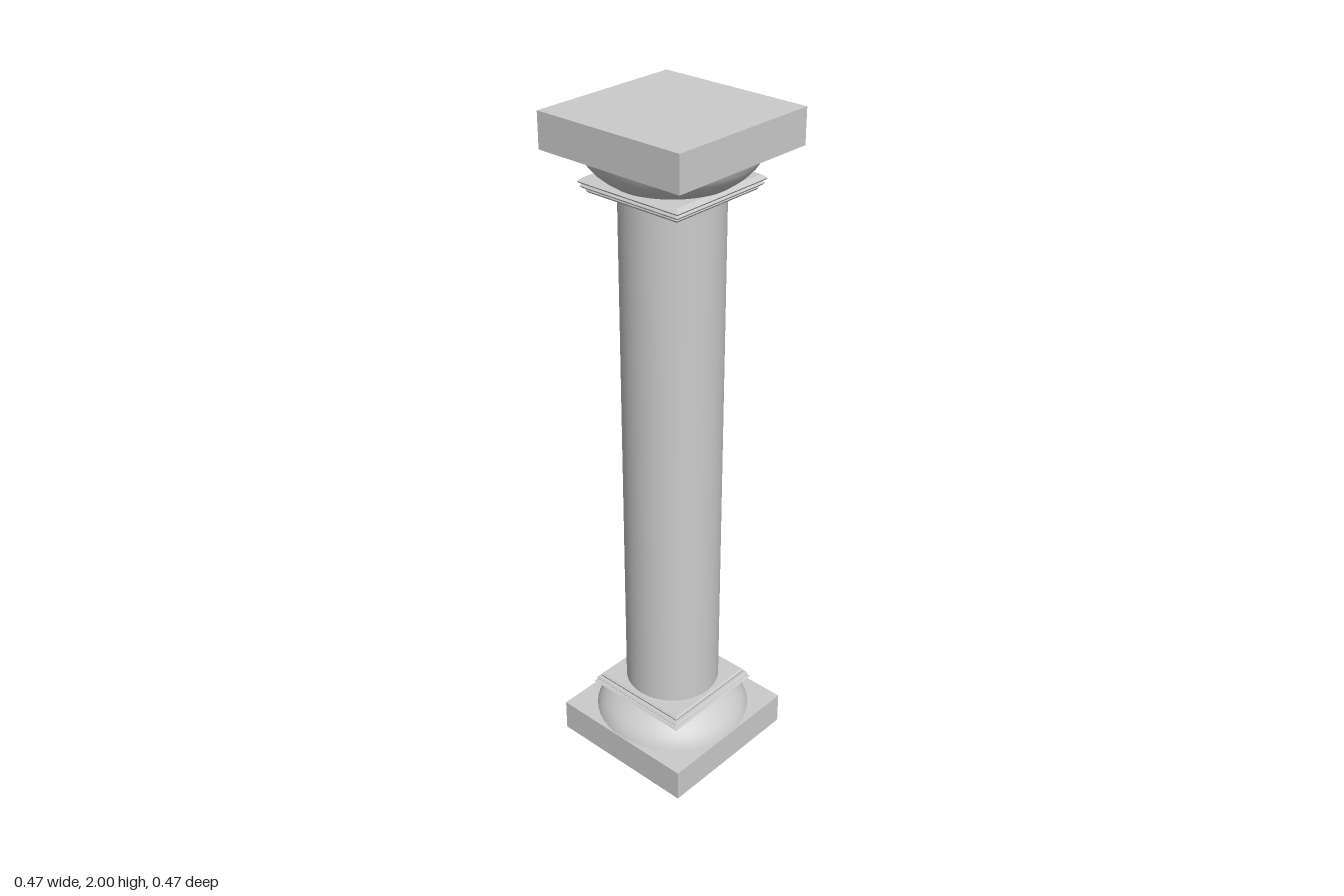
import * as THREE from 'three';

const smooth = new THREE.MeshStandardMaterial({ color: 0xcccccc });
const flat = new THREE.MeshStandardMaterial({ color: 0xcccccc, flatShading: true });

function add(group, name, geometry, material, y = 0) {
  const mesh = new THREE.Mesh(geometry, material);
  mesh.name = name;
  mesh.position.y = y;
  group.add(mesh);
}

const points = (list) => list.map(([r, y]) => new THREE.Vector2(r, y));

// One end of the column: square plinth, round flare and stepped square collar
function columnEnd(name) {
  const end = new THREE.Group();
  end.name = name;

  add(end, 'plinth', new THREE.BoxGeometry(0.474, 0.1, 0.474), flat, 0.05);

  // Convex round moulding, narrowing towards the shaft
  const flare = points([[0.235, 0.1], [0.229, 0.116], [0.218, 0.132], [0.204, 0.147],
    [0.187, 0.161], [0.165, 0.176]]);
  add(end, 'flare', new THREE.LatheGeometry(flare, 48), smooth);

  // Three thin square steps with slightly sloped edges, closed above and below
  const steps = points([[0, 0.174], [0.16, 0.174], [0.172, 0.184], [0.168, 0.189],
    [0.161, 0.189], [0.167, 0.197], [0.163, 0.202], [0.154, 0.202],
    [0.157, 0.209], [0.152, 0.215], [0, 0.215]]);
  steps.forEach((p) => { p.x *= Math.SQRT2; });
  add(end, 'steppedCollar', new THREE.LatheGeometry(steps, 4, Math.PI / 4), flat);
  return end;
}

export function createModel() {
  const column = new THREE.Group();
  column.name = 'column';

  add(column, 'shaft', new THREE.CylinderGeometry(0.142, 0.142, 1.6, 48, 1, true), smooth, 1);
  column.add(columnEnd('base'));

  // The capital is the base turned upside down
  const capital = columnEnd('capital');
  capital.rotation.x = Math.PI;
  capital.position.y = 2;
  column.add(capital);
  return column;
}
